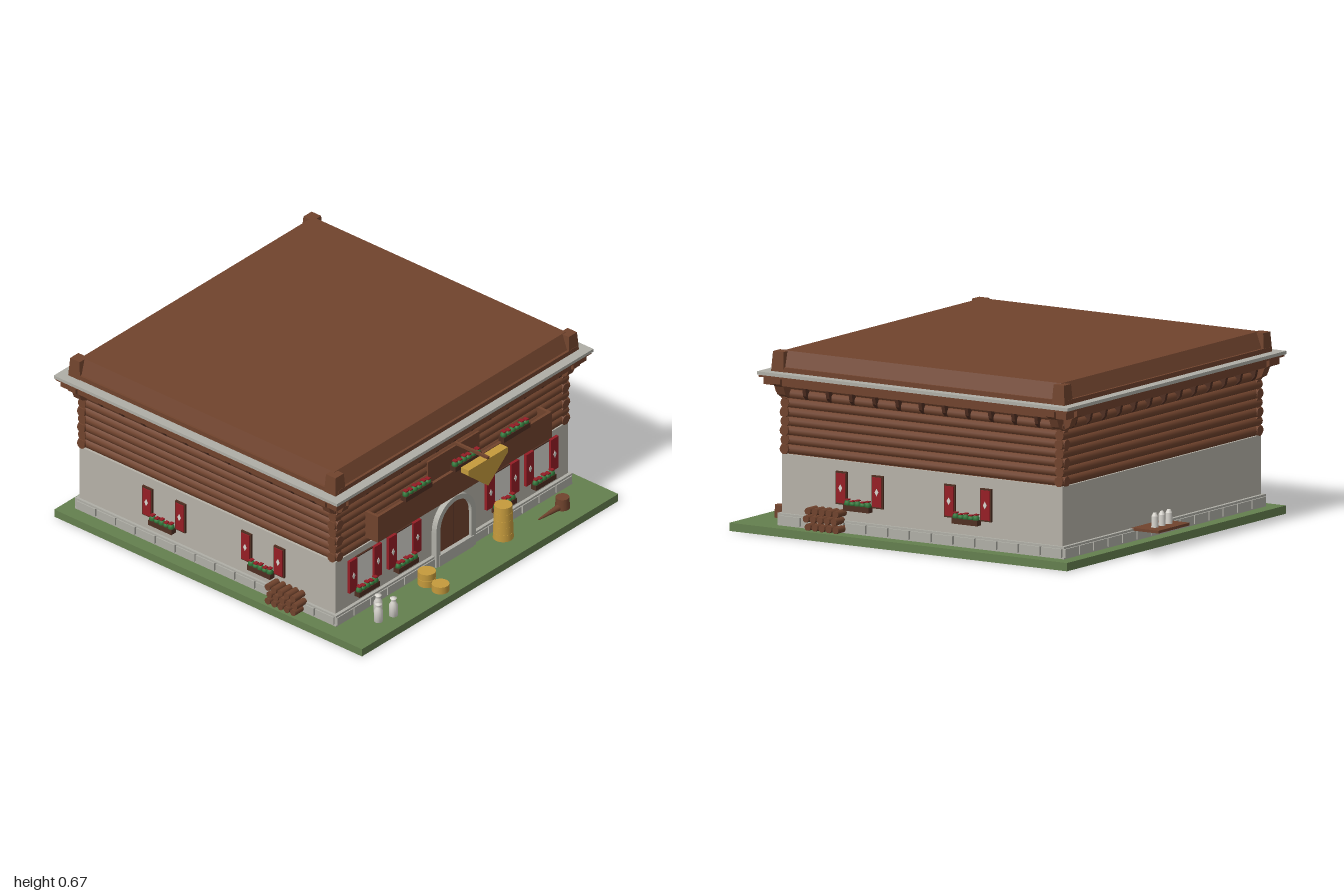
import * as THREE from 'three';

const mat = (name, color, side = THREE.FrontSide) => {
  const m = new THREE.MeshStandardMaterial({ color, side });
  m.name = name;
  return m;
};

export function createModel() {
  const root = new THREE.Group();
  root.name = 'chalet';
  const wood = mat('wood', 0x70432d, THREE.DoubleSide), dark = mat('darkWood', 0x4f2e21);
  const plaster = mat('plaster', 0xb5b1a7), stone = mat('stone', 0xafaea6);
  const grass = mat('grass', 0x647f4e), red = mat('shutterRed', 0x951d25);
  const leaf = mat('leaf', 0x2f7538), gold = mat('gold', 0xc59a3c);
  const white = mat('paleTrim', 0xd8d5ce);

  const add = (name, geo, m, x = 0, y = 0, z = 0, parent = root) => {
    const mesh = new THREE.Mesh(geo, m);
    mesh.name = name;
    mesh.position.set(x, y, z);
    parent.add(mesh);
    return mesh;
  };
  const box = (name, m, w, h, d, x, y, z, p) => add(name, new THREE.BoxGeometry(w, h, d), m, x, y, z, p);
  const cyl = (name, m, r1, r2, h, x, y, z, p, n = 16) =>
    add(name, new THREE.CylinderGeometry(r1, r2, h, n), m, x, y, z, p);
  const extrude = (pts, depth) =>
    new THREE.ExtrudeGeometry(new THREE.Shape(pts.map(p => new THREE.Vector2(...p))), { depth, bevelEnabled: false });

  // Ground, foundation and walls
  box('ground', grass, 1.4, 0.03, 1.455, 0, 0.015, 0.06);
  box('foundationSlab', plaster, 1.2, 0.003, 1.15, 0, 0.0008, 0);
  box('plasterWalls', plaster, 1.27, 0.26, 1.21, 0, 0.16, 0);
  box('logCore', wood, 1.25, 0.29, 1.19, 0, 0.435, 0);

  // Stone plinth: a capped course of blocks on every side
  for (const s of [-1, 1]) {
    for (let i = 0; i < 14; i++)
      box('plinthStone', stone, 0.086, 0.032, 0.02, -0.598 + i * 0.092, 0.05, s * 0.611);
    for (let i = 0; i < 13; i++)
      box('plinthStone', stone, 0.02, 0.032, 0.087, s * 0.638, 0.05, -0.564 + i * 0.094);
    box('plinthCap', stone, 1.29, 0.008, 0.016, 0, 0.071, s * 0.61);
    box('plinthCap', stone, 0.016, 0.008, 1.23, s * 0.637, 0.071, 0);
    box('plinthBase', stone, 1.29, 0.006, 0.016, 0, 0.032, s * 0.61);
    box('plinthBase', stone, 0.016, 0.006, 1.23, s * 0.637, 0.032, 0);
  }

  // Log walls, with alternating ends that cross at the corners
  for (let i = 0; i < 8; i++) {
    const y = 0.308 + i * 0.0335, extra = i % 2 ? 0 : 0.01;
    for (const s of [-1, 1]) {
      cyl('log', wood, 0.0185, 0.0185, 1.275 + extra, 0, y, s * 0.592, root, 10).rotation.z = Math.PI / 2;
      cyl('log', wood, 0.0185, 0.0185, 1.215 + extra, s * 0.617, y, 0, root, 10).rotation.x = Math.PI / 2;
    }
  }

  // Eaves: beams, curved brackets, grey slab
  box('eaveBoard', wood, 1.365, 0.03, 1.305, 0, 0.56, 0);
  box('eaveTrim', wood, 1.39, 0.008, 1.33, 0, 0.576, 0);
  box('eaveSlab', stone, 1.4, 0.012, 1.34, 0, 0.586, 0);
  const bracket = (x, z, turn, reach, w, m) => {
    const g = extrude([[-0.03, 0.495], [0, 0.495], [reach * 0.45, 0.51], [reach * 0.65, 0.54],
      [reach, 0.552], [reach, 0.572], [-0.03, 0.572]], w).translate(0, 0, -w / 2);
    add('eaveBracket', g, m, x, 0, z).rotation.y = turn;
  };
  for (const s of [-1, 1]) {
    for (let i = -6; i <= 6; i++) bracket(i * 0.096, s * 0.605, -s * Math.PI / 2, 0.035, 0.014, dark);
    for (let i = -5; i <= 5; i++) bracket(s * 0.63, i * 0.1, s > 0 ? 0 : Math.PI, 0.035, 0.014, dark);
    for (const t of [-1, 1]) {
      bracket(t * 0.615, s * 0.605, -s * Math.PI / 2, 0.06, 0.035, wood);
      bracket(s * 0.635, t * 0.59, s > 0 ? 0 : Math.PI, 0.06, 0.035, wood);
    }
  }

  // Low hipped roof with a raised corner block at each hip
  const taper = (w, d, h, tw, td) => {
    const g = new THREE.BoxGeometry(w, h, d), p = g.attributes.position;
    for (let i = 0; i < p.count; i++)
      if (p.getY(i) > 0) p.setXYZ(i, p.getX(i) * tw / w, p.getY(i), p.getZ(i) * td / d);
    g.computeVertexNormals();
    return g;
  };
  add('roof', taper(1.32, 1.26, 0.074, 1.265, 1.195), wood, 0, 0.629, 0);
  for (const s of [-1, 1]) {
    box('roofFoot', wood, 1.3, 0.018, 0.015, 0, 0.6, s * 0.625);
    box('roofFoot', wood, 0.015, 0.018, 1.24, s * 0.655, 0.6, 0);
    for (const t of [-1, 1])
      add('roofCorner', taper(0.055, 0.055, 0.072, 0.045, 0.045), wood, s * 0.637, 0.628, t * 0.605);
  }

  // Planter with a row of leaves topped by red blooms
  const planter = (w, x, y, z, p) => {
    box('planterBox', dark, w, 0.02, 0.025, x, y, z, p);
    const n = Math.round(w / 0.024);
    for (let i = 0; i < n; i++) {
      const px = x + ((i + 0.5) / n - 0.5) * w, tall = i % 2 ? 0.9 : 1.25;
      add('leaves', new THREE.IcosahedronGeometry(0.0125, 1), leaf, px, y + 0.014, z, p).scale.y = tall;
      box('bloom', red, 0.014, 0.004, 0.018, px, y + 0.014 + 0.0125 * tall, z, p);
    }
  };

  // Shuttered window, built facing +z; the framed kind has no pane of its own
  const diamond = extrude([[0, -0.014], [0.008, 0], [0, 0.014], [-0.008, 0]], 0.003);
  const windowSet = (x, z, turn, top, framed) => {
    const g = new THREE.Group();
    g.name = 'window';
    g.position.set(x, 0, z);
    g.rotation.y = turn;
    root.add(g);
    const h = top - 0.134, mid = (top + 0.134) / 2;
    for (const s of [-1, 1]) {
      const px = s * (framed ? 0.078 : 0.067);
      if (framed) box('shutterFrame', dark, 0.048, h + 0.004, 0.01, px, mid, 0.004, g);
      box('shutter', red, framed ? 0.038 : 0.043, framed ? h - 0.008 : h, 0.012, px, mid, 0.007, g);
      add('shutterDiamond', diamond, white, px, mid, 0.012, g);
    }
    if (!framed) {
      box('windowPane', white, 0.092, h - 0.005, 0.006, 0, mid, 0.002, g);
      box('windowLintel', dark, 0.092, 0.004, 0.008, 0, top - 0.002, 0.003, g);
    }
    planter(0.11, 0, framed ? 0.126 : 0.118, 0.018, g);
  };
  for (const x of [-0.482, -0.267, 0.267, 0.482]) windowSet(x, 0.605, 0, 0.266, false);
  for (const s of [-1, 1]) for (const z of [0.267, -0.2]) windowSet(s * 0.634, z, s * Math.PI / 2, 0.25, true);

  // Arched door with a stone surround
  const arch = (w, base, spring) => {
    const s = new THREE.Shape();
    s.moveTo(-w, base);
    s.lineTo(w, base);
    s.lineTo(w, spring);
    s.absarc(0, spring, w, 0, Math.PI);
    s.lineTo(-w, base);
    return s;
  };
  const surround = arch(0.108, 0.03, 0.175);
  surround.holes.push(arch(0.085, 0.031, 0.178));
  add('doorSurround', new THREE.ExtrudeGeometry(surround, { depth: 0.025, bevelEnabled: false }), stone, 0, 0, 0.602);
  add('door', new THREE.ExtrudeGeometry(arch(0.085, 0.075, 0.178), { depth: 0.008, bevelEnabled: false }), wood, 0, 0, 0.605);
  box('doorSeam', dark, 0.004, 0.18, 0.004, 0, 0.168, 0.614);
  box('doorStep', stone, 0.19, 0.045, 0.03, 0, 0.0525, 0.615);

  // Balcony with planters and upper door
  box('balconyFront', wood, 0.95, 0.108, 0.012, 0, 0.378, 0.662);
  box('balconyFloor', wood, 0.95, 0.012, 0.065, 0, 0.33, 0.635);
  for (const s of [-1, 1]) box('balconySide', wood, 0.012, 0.108, 0.065, s * 0.469, 0.378, 0.635);
  box('balconyDoor', wood, 0.28, 0.15, 0.008, 0, 0.41, 0.612);
  for (const x of [-0.27, 0, 0.265]) planter(0.145, x, 0.449, 0.674);

  // Hanging sign on its rod
  box('signRod', wood, 0.01, 0.01, 0.18, 0, 0.505, 0.69);
  add('hangingSign', extrude([[0, 0.388], [0.107, 0.478], [0.107, 0.5], [-0.107, 0.5], [-0.107, 0.478]], 0.036), gold, 0, 0, 0.743);

  // Firewood stacks on both sides
  for (const s of [-1, 1])
    for (let r = 0; r < 3; r++)
      for (let i = 0; i < 5; i++)
        cyl('firewood', wood, 0.013, 0.013, 0.055, s * 0.667, 0.046 + r * 0.029,
          0.335 + i * 0.03 + (r % 2 ? 0.008 : 0), root, 10).rotation.z = Math.PI / 2;

  // Milk cans by the front wall
  const can = new THREE.LatheGeometry([[0, 0], [0.016, 0], [0.016, 0.045], [0.009, 0.058], [0.009, 0.066],
    [0.013, 0.072], [0, 0.075]].map(p => new THREE.Vector2(...p)), 14);
  for (const [x, z] of [[-0.515, 0.705], [-0.45, 0.72], [-0.47, 0.665]]) add('milkCan', can, white, x, 0.03, z);

  // Golden wheels, single and stacked
  cyl('goldWheel', gold, 0.032, 0.032, 0.028, -0.21, 0.044, 0.735);
  for (let i = 0; i < 2; i++) cyl('goldWheel', gold, 0.033, 0.033, 0.026, -0.21, 0.044 + i * 0.028, 0.67);
  for (let i = 0; i < 5; i++) cyl('goldStack', gold, 0.037 - i * 0.001, 0.038 - i * 0.001, 0.027, 0.21, 0.0435 + i * 0.0275, 0.668);

  // Chopping block and slim horn lying beside it
  cyl('choppingBlock', wood, 0.025, 0.027, 0.045, 0.5, 0.0525, 0.697);
  cyl('horn', wood, 0.003, 0.013, 0.12, 0.43, 0.04, 0.697).rotation.z = Math.PI / 2;

  // Rear bench with three tankards
  box('benchSeat', wood, 0.2, 0.01, 0.115, 0.1, 0.073, -0.667);
  for (let i = 0; i < 3; i++) {
    cyl('tankard', white, 0.012, 0.013, 0.04, 0.055 + i * 0.045, 0.098, -0.672);
    cyl('tankardLid', white, 0.006, 0.012, 0.012, 0.055 + i * 0.045, 0.124, -0.672);
  }
  return root;
}
